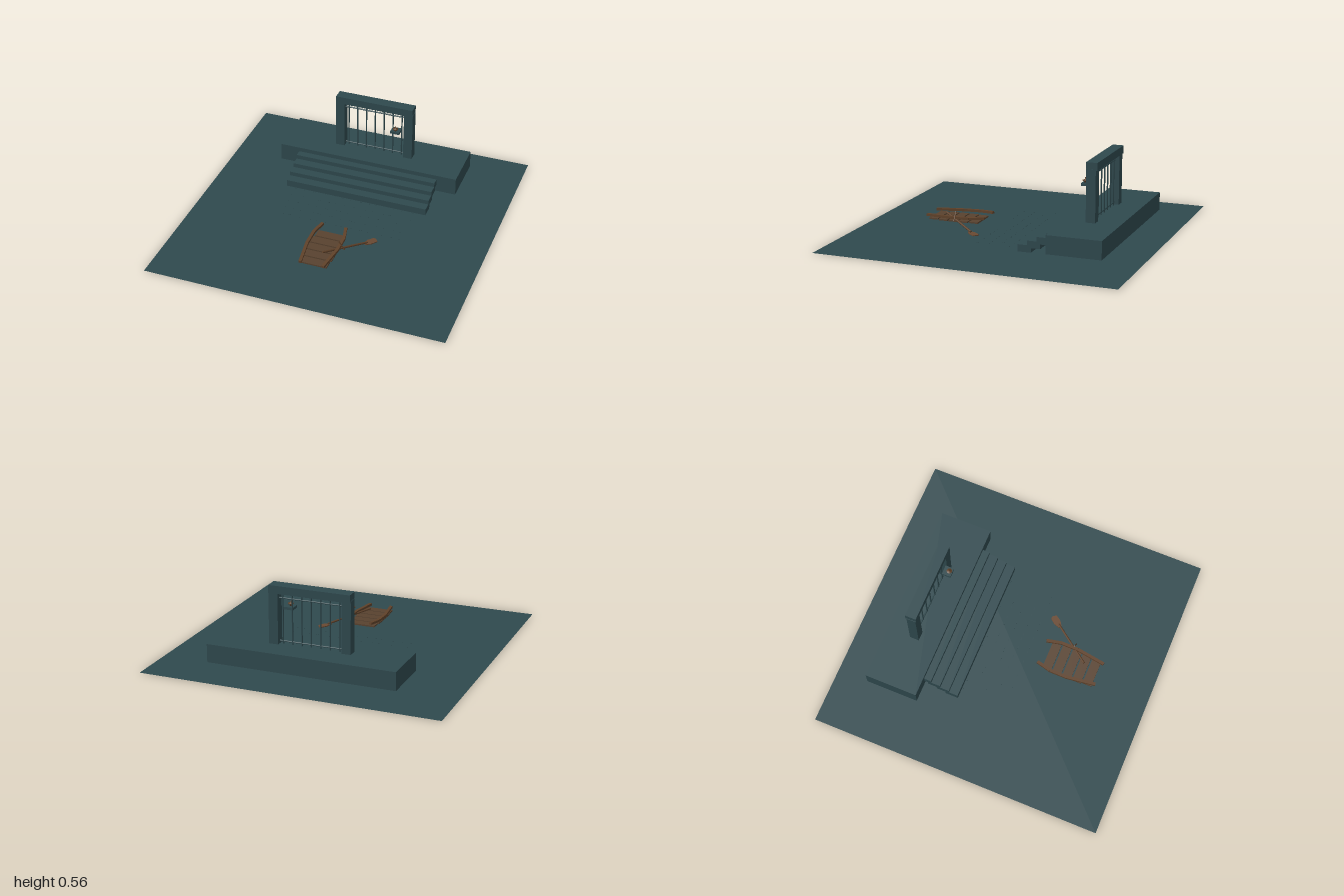
import * as THREE from 'three';

const mat = (name, color) => {
  const m = new THREE.MeshStandardMaterial({ color });
  m.name = name;
  return m;
};

export function createModel() {
  const root = new THREE.Group();
  root.name = 'gateLanding';
  const stone = mat('slate', 0x2f494e);
  const ground = mat('ground', 0x2f494e);
  ground.side = THREE.DoubleSide;
  const plankWood = mat('plankWood', 0x58422f);
  const railWood = mat('railWood', 0x5f4129);
  const bladeWood = mat('bladeWood', 0x694932);

  const add = (parent, name, geometry, material) => {
    const m = new THREE.Mesh(geometry, material);
    m.name = name;
    parent.add(m);
    return m;
  };
  const group = (name) => {
    const g = new THREE.Group();
    g.name = name;
    root.add(g);
    return g;
  };
  // Box given by its limits on each axis
  const box = (parent, name, x0, x1, y0, y1, z0, z1, material) => {
    const m = add(parent, name, new THREE.BoxGeometry(x1 - x0, y1 - y0, z1 - z0), material);
    m.position.set((x0 + x1) / 2, (y0 + y1) / 2, (z0 + z1) / 2);
    return m;
  };
  // Round rod or rectangular beam running from a to b
  const between = (parent, name, a, b, material, r, height = 0) => {
    const p = new THREE.Vector3(...a), q = new THREE.Vector3(...b);
    const len = p.distanceTo(q);
    const geo = height
      ? new THREE.BoxGeometry(r * 2, height, len)
      : new THREE.CylinderGeometry(r, r, len, 8).rotateX(Math.PI / 2);
    const m = add(parent, name, geo, material);
    m.position.copy(p).add(q).multiplyScalar(0.5);
    m.lookAt(q);
    return m;
  };

  // Ground sheet
  add(root, 'ground', new THREE.PlaneGeometry(2, 2).rotateX(-Math.PI / 2), ground).position.y = 0.005;

  // Raised platform and overlapping steps
  box(root, 'platform', -0.635, 0.635, 0.05, 0.172, -0.78, -0.42, stone);
  const steps = group('steps');
  for (let i = 0; i < 4; i++) {
    const front = -0.183 - i * 0.0625, top = 0.052 + i * 0.03;
    box(steps, 'step', -0.5, 0.5, top - 0.047, top, front - 0.088, front, stone);
  }

  // Gate frame with bars
  const gate = group('gate');
  for (const s of [-1, 1]) {
    const post = box(gate, 'post', -0.031, 0.031, 0.17, 0.52, -0.618, -0.555, stone);
    post.position.x = s * 0.246;
  }
  box(gate, 'lintel', -0.274, 0.274, 0.51, 0.562, -0.627, -0.552, stone);
  for (let i = -3; i <= 3; i++) {
    between(gate, 'bar', [i * 0.064, 0.17, -0.587], [i * 0.064, 0.503, -0.587], stone, 0.005);
  }
  for (const y of [0.19, 0.475]) {
    between(gate, 'crossRail', [-0.22, y, -0.587], [0.22, y, -0.587], stone, 0.005);
  }

  // Small shelf holding a lamp
  const lamp = group('shelfLamp');
  box(lamp, 'shelf', 0.138, 0.202, 0.388, 0.405, -0.556, -0.495, stone);
  const turned = new THREE.LatheGeometry([
    [0, 0], [0.01, 0], [0.006, 0.006], [0.018, 0.012], [0.018, 0.017],
    [0.004, 0.019], [0.003, 0.032], [0, 0.036],
  ].map(([x, y]) => new THREE.Vector2(x, y)), 12);
  add(lamp, 'lamp', turned, railWood).position.set(0.17, 0.404, -0.515);

  // Scattered ripple marks in rows
  const ripples = group('ripples');
  let seed = 7;
  const rand = () => (seed = (seed * 16807) % 2147483647) / 2147483647;
  for (let row = 0; row < 5; row++) {
    const z = -0.175 + row * 0.075;
    for (let i = 0; i < 14; i++) {
      const x = -0.41 + i * 0.063 + (rand() - 0.5) * 0.04;
      const w = 0.003 + rand() * 0.007, zz = z + (rand() - 0.5) * 0.006;
      box(ripples, 'ripple', x - w, x + w, 0.004, 0.0065, zz - 0.002, zz + 0.002, stone);
    }
  }

  // Wooden boat: five floor planks between two bent rails
  const boat = group('boat');
  for (let i = 0; i < 5; i++) {
    const z = 0.292 + i * 0.0725, w = i === 0 || i === 4 ? 0.095 : 0.102;
    box(boat, 'plank', -w, w, 0.032, 0.042, z - 0.031, z + 0.031, plankWood);
  }
  const bend = [[0.081, 0.071, 0.22], [0.105, 0.066, 0.32], [0.105, 0.062, 0.44], [0.077, 0.057, 0.635]];
  for (const s of [-1, 1]) {
    for (let i = 0; i < 3; i++) {
      const [a, b] = [bend[i], bend[i + 1]].map(([x, y, z]) => [s * x, y, z]);
      between(boat, 'sideRail', a, b, railWood, 0.01, 0.016);
    }
  }
  between(boat, 'oarPin', [0.105, 0.107, 0.412], [0.142, 0.05, 0.412], railWood, 0.004);

  // Oar resting over the rail, blade on the ground
  const oar = group('oar');
  between(oar, 'oarShaft', [0.03, 0.072, 0.51], [0.24, 0.018, 0.247], railWood, 0.007);
  const outline = new THREE.Shape([
    [-0.01, -0.045], [0.01, -0.045], [0.025, -0.005], [0.024, 0.04],
    [0.01, 0.05], [-0.02, 0.042], [-0.024, -0.005],
  ].map(([x, y]) => new THREE.Vector2(x, y)));
  const bladeGeo = new THREE.ExtrudeGeometry(outline, { depth: 0.006, bevelEnabled: false })
    .translate(0, 0, -0.003).rotateX(Math.PI / 2);
  const blade = add(oar, 'oarBlade', bladeGeo, bladeWood);
  blade.position.set(0.254, 0.0115, 0.229);
  blade.lookAt(0.464, 0.0, -0.034);

  return root;
}
